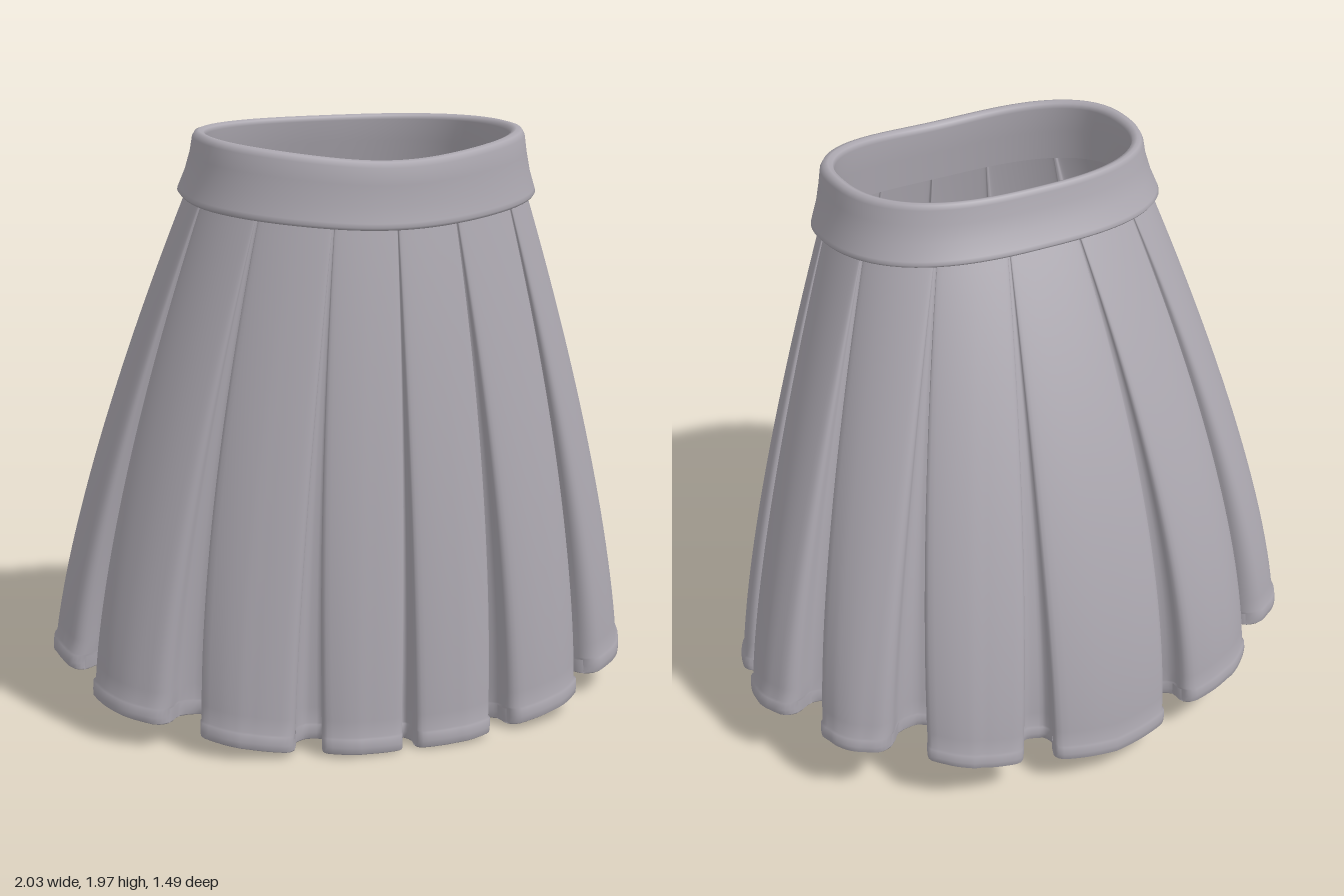
import * as THREE from 'three';

const RAD = Math.PI / 180;
const lerp = THREE.MathUtils.lerp;

// Superellipse point on a horizontal ring, angle measured from +z towards +x
function ringPoint(angle, rx, rz, cz, n) {
  const s = Math.sin(angle), c = Math.cos(angle);
  const r = Math.pow(Math.pow(Math.abs(s / rx), n) + Math.pow(Math.abs(c / rz), n), -1 / n);
  return [r * s, r * c + cz];
}
// The waist is rounder at the front and squarer at the back
const waistPoint = (a, rx, rz, cz) => ringPoint(a, rx, rz, cz, 2.35 - 0.25 * Math.cos(a));

// Closed loft: rows run along the cross-section, columns wrap round the body
function loft(rows, cols, pointAt) {
  const pos = [], idx = [];
  for (let r = 0; r < rows; r++) {
    for (let c = 0; c < cols; c++) pos.push(...pointAt(r, c));
  }
  for (let r = 0; r < rows - 1; r++) {
    for (let c = 0; c < cols; c++) {
      const n = (c + 1) % cols;
      const a = r * cols + c, b = a + cols, d = r * cols + n, e = d + cols;
      idx.push(a, b, d, b, e, d);
    }
  }
  const g = new THREE.BufferGeometry();
  g.setAttribute('position', new THREE.Float32BufferAttribute(pos, 3));
  g.setIndex(idx);
  g.computeVertexNormals();
  return g;
}

// Waist seam and hem heights round the body
const seamY = (a) => 1.735 - 0.045 * Math.cos(a) + 0.02 * Math.sin(a) ** 2;
const topY = (a) => 1.965 - 0.06 * Math.pow(Math.max(0, Math.cos(a)), 1.7);
const HEM = [[0, 0], [30, 0.015], [60, 0.08], [77, 0.13], [90, 0.195], [112, 0.2], [135, 0.165], [160, 0.11], [180, 0.085]];
function hemY(a) {
  let d = (a / RAD) % 360;
  if (d < 0) d += 360;
  if (d > 180) d = 360 - d;
  for (let i = 1; i < HEM.length; i++) {
    const [d0, y0] = HEM[i - 1], [d1, y1] = HEM[i];
    if (d <= d1) return lerp(y0, y1, (d - d0) / (d1 - d0));
  }
  return HEM[HEM.length - 1][1];
}

// Folds between pleats: angle at waist, angle at hem, half width (degrees), depth at hem
const HALF_FOLDS = [
  [0, 0, 2, 0.1], [29, 26.5, 3.6, 0.13], [57, 55, 4.2, 0.17], [82, 80.5, 3.8, 0.15],
  [107, 104, 4.4, 0.18], [133, 127, 4.4, 0.19], [162, 158.5, 4.4, 0.13],
];
const FOLDS = [
  ...HALF_FOLDS,
  ...HALF_FOLDS.slice().reverse().map(([w, h, g, d]) => [360 - w, 360 - h, g, d]),
];

// Half a pleat from fold to middle: [fold widths, share of the panel, depth]
const pleatCurve = new THREE.CatmullRomCurve3([
  [0, 0, 1], [0.75, 0, 0.95], [1.2, 0, 0.65], [0.95, 0, 0.3],
  [1.1, 0.04, 0.1], [1.5, 0.25, 0], [1.5, 0.6, -0.05], [1.5, 1, -0.07],
].map((p) => new THREE.Vector3(...p)));

function skirtGeometry() {
  const half = 18, per = half * 2, pleats = FOLDS.length - 1;
  const section = [];
  for (let i = 0; i <= half; i++) section.push(pleatCurve.getPoint(i / half));

  // Rows down the cloth, then the raised hem band and its turned-in lip
  const rows = [];
  for (let i = 0; i <= 30; i++) rows.push([0.966 * i / 30, 0]);
  rows.push([0.968, 0.008], [0.985, 0.009], [0.997, 0.007], [1, 0], [0.997, -0.01], [0.97, -0.012]);

  return loft(rows.length, per * pleats, (r, c) => {
    const [t, out] = rows[r];
    const k = Math.floor(c / per), i = c % per;
    const firstHalf = i <= half;
    const p = section[firstHalf ? i : per - i];
    const from = FOLDS[firstHalf ? k : k + 1], to = FOLDS[firstHalf ? k + 1 : k];
    const gap = from[2] * (0.12 + 0.88 * t) * (firstHalf ? 1 : -1);
    const angle = (j) => (from[j] + gap * p.x + p.y * ((to[j] - from[j]) / 2 - 1.5 * gap)) * RAD;
    const wa = angle(0), ha = angle(1);
    const w = waistPoint(wa, 0.56, 0.395, 0.178);
    const h = ringPoint(ha, 0.995, 0.73, 0, 2.1);
    const f = 1 - Math.pow(1 - t, 1.75 - 0.4 * Math.sin(ha) ** 2);
    const depth = (0.01 + from[3] * Math.pow(t, 1.1)) * p.z - out;
    const x = lerp(w[0], h[0], f) - Math.sin(ha) * depth;
    const z = lerp(w[1], h[1], f) - Math.cos(ha) * depth;
    return [x, lerp(seamY(wa) + 0.015, hemY(ha), t), z];
  });
}

// Band cross-section: [x radius, z radius, centre z, height fraction]
const BAND = [
  [0.53, 0.37, 0.18, 0.02], [0.515, 0.355, 0.185, 0.5], [0.505, 0.343, 0.188, 0.9],
  [0.51, 0.348, 0.19, 0.97], [0.525, 0.363, 0.19, 1], [0.54, 0.376, 0.195, 0.98],
  [0.549, 0.384, 0.197, 0.9], [0.557, 0.39, 0.195, 0.65], [0.572, 0.402, 0.187, 0.35],
  [0.59, 0.42, 0.18, 0.1], [0.594, 0.424, 0.178, 0.04], [0.588, 0.419, 0.178, 0],
  [0.55, 0.385, 0.178, 0.01],
];
function bandGeometry() {
  const cols = 96;
  return loft(BAND.length, cols, (r, c) => {
    const a = (c / cols) * Math.PI * 2;
    const [rx, rz, cz, v] = BAND[r];
    const [x, z] = waistPoint(a, rx, rz, cz);
    return [x, lerp(seamY(a), topY(a), v), z];
  });
}

export function createModel() {
  const group = new THREE.Group();
  group.name = 'pleatedSkirt';
  const cloth = new THREE.MeshStandardMaterial({ color: 0xaca8b0, side: THREE.DoubleSide });
  cloth.name = 'greyCloth';

  const add = (name, geometry) => {
    const mesh = new THREE.Mesh(geometry, cloth);
    mesh.name = name;
    group.add(mesh);
    return mesh;
  };

  add('pleats', skirtGeometry());
  add('waistband', bandGeometry());

  // Inner shorts: a closed panel with two open legs
  const outline = [];
  for (let i = 0; i < 48; i++) {
    const [x, z] = ringPoint((i / 48) * Math.PI * 2, 0.66, 0.4, 0, 2.6);
    outline.push(new THREE.Vector2(x, z));
  }
  const panel = add('liningPanel', new THREE.ShapeGeometry(new THREE.Shape(outline)));
  panel.rotation.x = -Math.PI / 2;
  panel.position.set(0, 0.95, 0.16);
  for (const side of [-1, 1]) {
    const leg = add(side > 0 ? 'leftLegLining' : 'rightLegLining',
      new THREE.CylinderGeometry(0.32, 0.35, 0.49, 40, 1, true));
    leg.position.set(side * 0.36, 0.705, 0.16);
  }
  return group;
}
